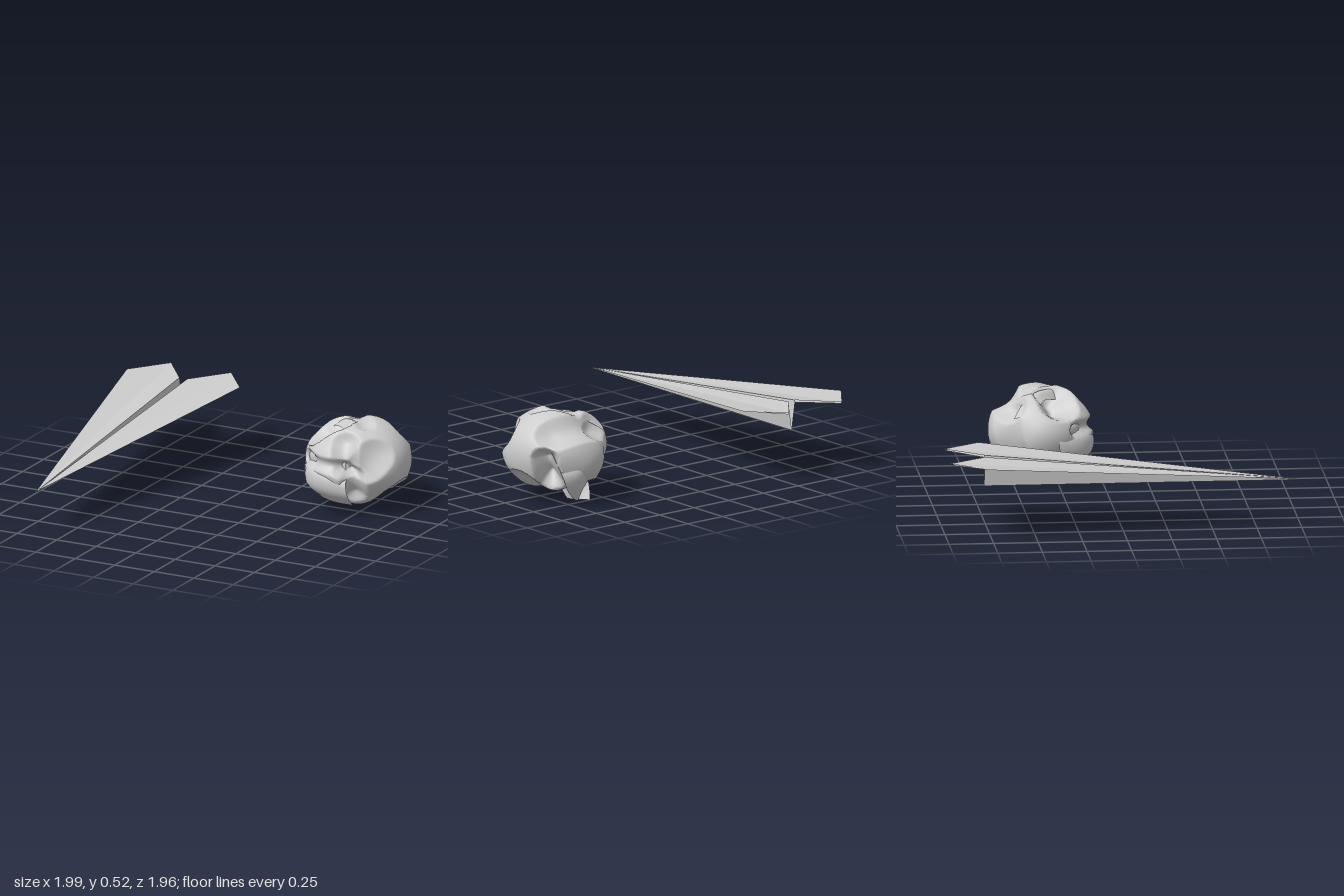
import * as THREE from 'three';
import { mergeVertices } from 'three/addons/utils/BufferGeometryUtils.js';

const V = (p) => new THREE.Vector3(...p);
const paper = new THREE.MeshStandardMaterial({ color: 0xcccccc, side: THREE.DoubleSide });
const foldedPaper = new THREE.MeshStandardMaterial({ color: 0xcccccc, side: THREE.DoubleSide, flatShading: true });

function addMesh(group, name, geometry, material) {
  const mesh = new THREE.Mesh(geometry, material);
  mesh.name = name;
  group.add(mesh);
}

// Flat polygon fanned from its first corner
function panel(corners) {
  const pos = [];
  for (let i = 1; i < corners.length - 1; i++) pos.push(...corners[0], ...corners[i], ...corners[i + 1]);
  const g = new THREE.BufferGeometry();
  g.setAttribute('position', new THREE.Float32BufferAttribute(pos, 3));
  g.computeVertexNormals();
  return g;
}

// Smooth curved sheet lofted through rows of points
function sheet(rows, n = 12) {
  const curves = rows.map((r) => new THREE.CatmullRomCurve3(r.map(V)));
  const pos = [], index = [];
  for (let i = 0; i <= n; i++) {
    const across = new THREE.CatmullRomCurve3(curves.map((c) => c.getPoint(i / n)));
    for (let j = 0; j <= n; j++) {
      pos.push(...across.getPoint(j / n).toArray());
      if (i < n && j < n) {
        const a = i * (n + 1) + j, b = a + n + 1;
        index.push(a, b, a + 1, b, b + 1, a + 1);
      }
    }
  }
  const g = new THREE.BufferGeometry();
  g.setAttribute('position', new THREE.Float32BufferAttribute(pos, 3));
  g.setIndex(index);
  g.computeVertexNormals();
  return g;
}

function createPlane() {
  const plane = new THREE.Group();
  plane.name = 'paperPlane';
  plane.position.x = -0.643;
  const nose = [0, 0.26, 0.98], keelFront = [0, 0.255, 0.98], keelBack = [0, 0.255, -0.77];
  for (const s of [-1, 1]) {
    const side = s < 0 ? 'right' : 'left';
    const inner = [s * 0.025, 0.425, -0.77], outer = [s * 0.357, 0.425, -0.77];
    // Keel wall, wing and the folded layer under the wing
    addMesh(plane, side + 'Keel', panel([keelFront, keelBack, inner, nose]), foldedPaper);
    addMesh(plane, side + 'Wing', panel([nose, inner, [s * 0.19, 0.428, -0.98], outer]), foldedPaper);
    addMesh(plane, side + 'WingUnderfold',
      panel([nose, outer, [s * 0.19, 0.42, -0.975], [s * 0.027, 0.412, -0.77]]), foldedPaper);
  }
  return plane;
}

function createBall() {
  const ball = new THREE.Group();
  ball.name = 'crumpledBall';

  // Valleys pressed into the ball: from, to (as directions), width, depth
  const valleys = [
    [[-0.6, 0.65, 0.3], [-0.35, 0.85, 0.2], 0.42, 0.14], // open pocket on top
    [[0.2, 0.1, 0.98], [0.1, 0.65, 0.75], 0.28, 0.05], // crease beside the large lobe
    [[0.3, -0.6, 0.75], [0.35, -0.1, 0.95], 0.25, 0.06], // recess beside the front lip
    [[-0.75, 0.12, 0.65], [0.15, 0.1, 0.98], 0.2, 0.05], // notch above the front lip
    [[0.55, 0.15, 0.8], [0.7, 0.4, 0.6], 0.4, 0.045], // flattened front left
    [[0.8, -0.7, 0], [0.2, -1, -0.05], 0.4, 0.07], // arch underneath
    [[0.78, 0.05, -0.62], [0.6, -0.55, -0.58], 0.26, 0.13], // cavity at the back
    [[-0.5, 0.62, -0.65], [0.55, 0.6, -0.62], 0.38, 0.055], // sloping back shoulder
    [[-0.2, 0.95, -0.3], [0.25, 0.9, 0.2], 0.2, 0.025], // swirl on top
    [[-0.75, -0.35, -0.6], [-0.5, 0.5, -0.7], 0.35, 0.025], // long crease behind
    [[-0.4, -0.85, 0.1], [-0.1, -0.85, -0.5], 0.4, 0.035], // hollow under the tab
  ].map(([a, b, w, d]) => ({ line: new THREE.Line3(V(a).normalize(), V(b).normalize()), w, d }));

  const raw = new THREE.IcosahedronGeometry(1, 26);
  raw.deleteAttribute('uv');
  raw.deleteAttribute('normal');
  const g = mergeVertices(raw, 1e-4);
  const p = g.attributes.position, v = new THREE.Vector3(), c = new THREE.Vector3();
  for (let i = 0; i < p.count; i++) {
    v.fromBufferAttribute(p, i).normalize();
    let r = 1 + 0.02 * Math.sin(5 * v.x + 3 * v.y) * Math.cos(4 * v.z - 2 * v.y);
    for (const { line, w, d } of valleys) {
      line.closestPointToPoint(v, true, c);
      const t = Math.max(0, 1 - c.distanceTo(v) / w);
      r -= (d / 0.29) * t * (2 - t);
    }
    p.setXYZ(i, 0.7 + 0.3 * r * v.x, 0.285 + 0.245 * r * v.y, -0.33 + 0.295 * r * v.z);
  }
  g.computeVertexNormals();
  addMesh(ball, 'crumpledBody', g, paper);

  // Loose edges of the sheet, tucked into the body where they start
  addMesh(ball, 'bottomTab', sheet([
    [[0.56, 0.12, -0.44], [0.64, 0.11, -0.41], [0.74, 0.1, -0.42]],
    [[0.57, 0.06, -0.47], [0.64, 0.05, -0.44], [0.74, 0.06, -0.45]],
    [[0.59, 0.005, -0.5], [0.65, 0.01, -0.46], [0.73, 0.03, -0.47]],
  ]), paper);
  addMesh(ball, 'backTusk', sheet([
    [[0.68, 0.36, -0.5], [0.78, 0.36, -0.5], [0.86, 0.34, -0.47]],
    [[0.66, 0.22, -0.59], [0.76, 0.22, -0.61], [0.85, 0.2, -0.57]],
    [[0.66, 0.12, -0.55], [0.73, 0.11, -0.585], [0.8, 0.1, -0.56]],
    [[0.68, 0.05, -0.5], [0.71, 0.03, -0.54], [0.74, 0.04, -0.54]],
  ]), paper);
  addMesh(ball, 'frontLip', sheet([
    [[0.43, 0.29, -0.24], [0.53, 0.3, -0.13], [0.65, 0.29, -0.1], [0.75, 0.25, -0.1]],
    [[0.405, 0.25, -0.25], [0.51, 0.26, -0.09], [0.64, 0.25, -0.04], [0.76, 0.21, -0.06]],
    [[0.405, 0.17, -0.25], [0.51, 0.17, -0.09], [0.64, 0.16, -0.045], [0.77, 0.14, -0.07]],
    [[0.45, 0.1, -0.28], [0.54, 0.09, -0.17], [0.65, 0.08, -0.13], [0.76, 0.07, -0.15]],
  ]), paper);
  addMesh(ball, 'pocketRim', sheet([
    [[0.42, 0.27, -0.26], [0.5, 0.28, -0.15], [0.62, 0.28, -0.12], [0.73, 0.28, -0.12]],
    [[0.42, 0.33, -0.25], [0.51, 0.34, -0.15], [0.62, 0.37, -0.11], [0.73, 0.36, -0.13]],
    [[0.46, 0.36, -0.27], [0.55, 0.37, -0.19], [0.63, 0.42, -0.16], [0.71, 0.43, -0.17]],
  ]), paper);
  addMesh(ball, 'topFold', sheet([
    [[0.48, 0.38, -0.5], [0.56, 0.44, -0.45], [0.65, 0.47, -0.4], [0.73, 0.48, -0.3]],
    [[0.46, 0.4, -0.43], [0.54, 0.465, -0.4], [0.63, 0.5, -0.35], [0.72, 0.5, -0.25]],
    [[0.45, 0.38, -0.37], [0.52, 0.44, -0.35], [0.6, 0.46, -0.31], [0.69, 0.44, -0.22]],
  ]), paper);
  return ball;
}

export function createModel() {
  const model = new THREE.Group();
  model.name = 'paperPlaneAndBall';
  model.add(createPlane(), createBall());
  return model;
}
